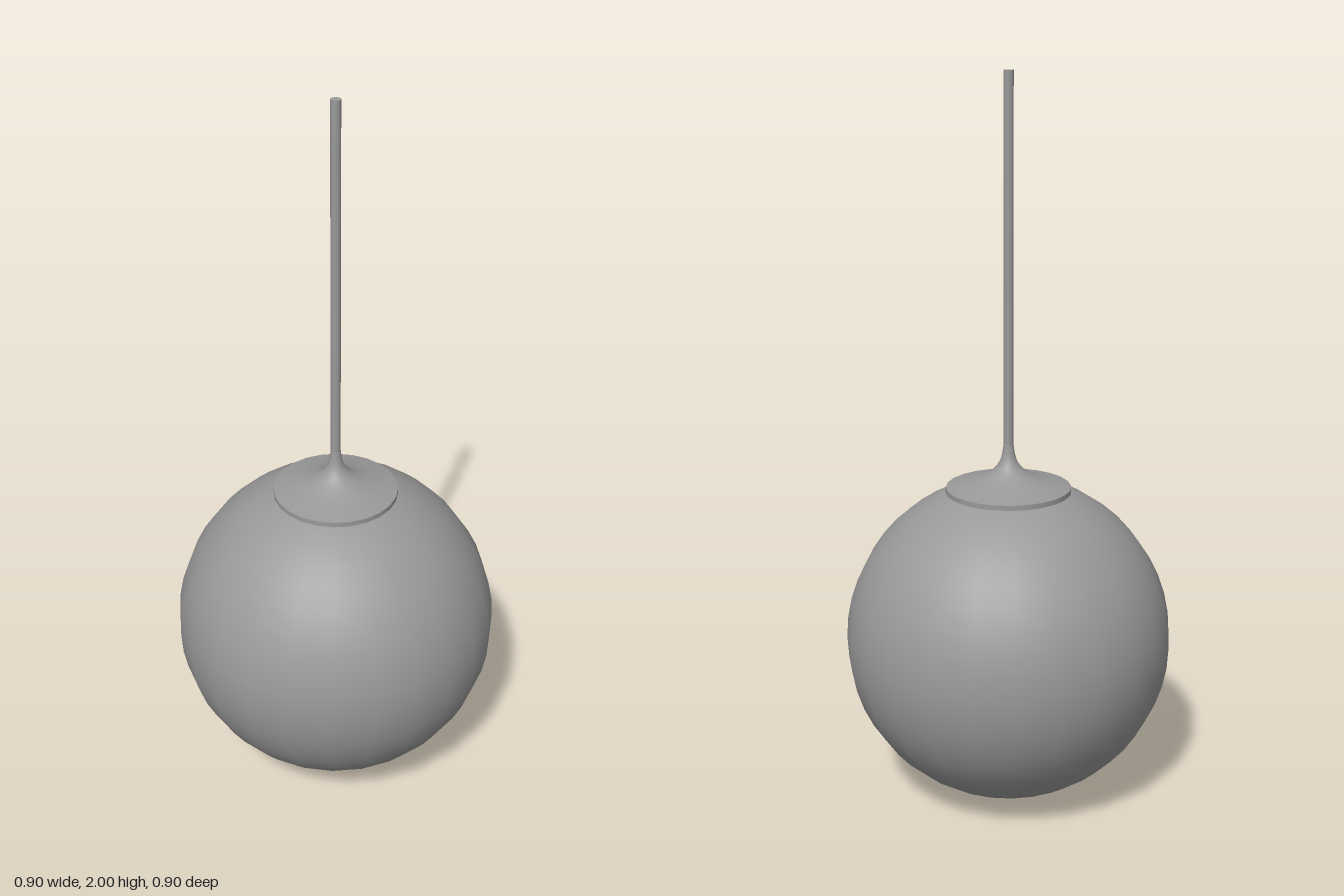
import * as THREE from 'three';

const TURN = THREE.MathUtils.degToRad(-6);
const lathe = (pts, sides) =>
  new THREE.LatheGeometry(pts.map(([r, y]) => new THREE.Vector2(r, y)), sides, TURN);

export function createModel() {
  const group = new THREE.Group();
  const grey = new THREE.MeshStandardMaterial({ color: 0x999999 });
  grey.name = 'grey';

  const add = (name, geometry) => {
    const mesh = new THREE.Mesh(geometry, grey);
    mesh.name = name;
    group.add(mesh);
  };

  // Round globe shade, smooth with 24 sides
  const R = 0.452;
  const arc = [];
  for (let i = 0; i <= 24; i++) {
    const a = (i / 24) * Math.PI;
    arc.push([R * Math.sin(a), R - R * Math.cos(a)]);
  }
  add('globe', lathe(arc, 24));

  // Canopy: underside, thin vertical rim and flared top kept apart for crisp edges
  const rim = 0.172, low = 0.874, high = 0.888;
  add('canopyUnderside', lathe([[0.1, low], [rim, low]], 24));
  add('canopyRim', lathe([[rim, low], [rim, high]], 24));
  const flare = new THREE.SplineCurve([
    [rim, high], [0.13, 0.898], [0.09, 0.91], [0.055, 0.927],
    [0.032, 0.948], [0.019, 0.975], [0.0135, 1.01],
  ].map(([r, y]) => new THREE.Vector2(r, y)));
  add('canopyFlare', new THREE.LatheGeometry(flare.getPoints(18), 24, TURN));

  // Suspension rod
  const rod = new THREE.CylinderGeometry(0.0135, 0.0135, 1.0, 16);
  rod.translate(0, 1.5, 0);
  add('rod', rod);

  return group;
}
